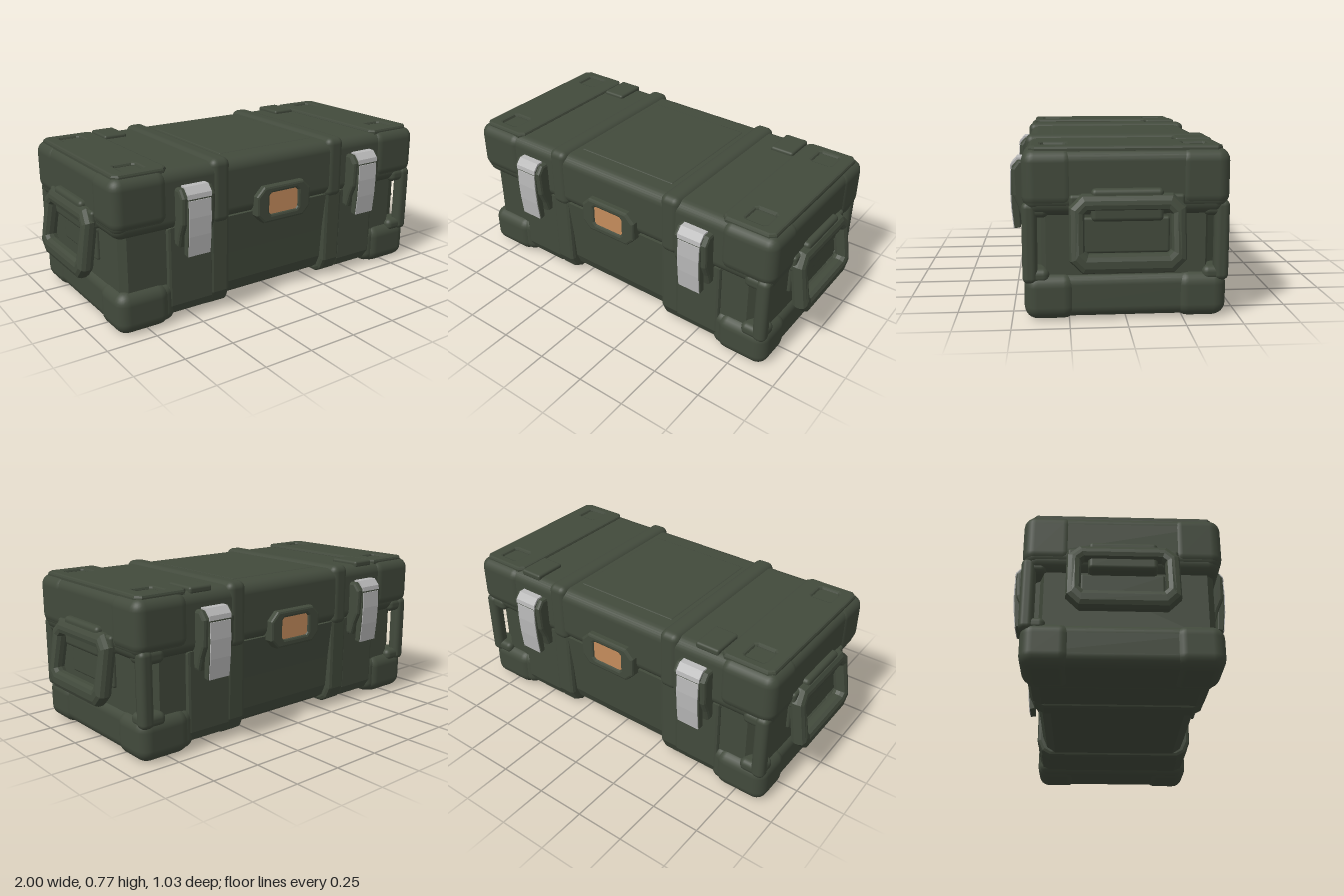
import * as THREE from 'three';
import { RoundedBoxGeometry } from 'three/addons/geometries/RoundedBoxGeometry.js';

export function createModel() {
  const mat = (name, color) => {
    const m = new THREE.MeshStandardMaterial({ color });
    m.name = name;
    return m;
  };
  const green = mat('olive plastic', 0x424a3c);
  const steel = mat('latch steel', 0xb9b9b9);
  const tan = mat('label tan', 0xc48c5c);

  const model = new THREE.Group();
  model.name = 'transportCase';

  const add = (name, geo, material = green, parent = model) => {
    const m = new THREE.Mesh(geo, material);
    m.name = name;
    parent.add(m);
    return m;
  };
  // Box given by its limits, with rounded edges
  const block = (name, [x0, x1], [y0, y1], [z0, z1], r, parent = model) => {
    const geo = new RoundedBoxGeometry(x1 - x0, y1 - y0, z1 - z0, 3, r);
    geo.translate((x0 + x1) / 2, (y0 + y1) / 2, (z0 + z1) / 2);
    return add(name, geo, green, parent);
  };
  const poly = (pts) => new THREE.Shape(pts.map(([x, y]) => new THREE.Vector2(x, y)));
  // Rectangle with cut corners
  const cutRect = (x0, x1, y0, y1, c) => poly([
    [x0 + c, y0], [x1 - c, y0], [x1, y0 + c], [x1, y1 - c],
    [x1 - c, y1], [x0 + c, y1], [x0, y1 - c], [x0, y0 + c],
  ]);
  const extrude = (shape, depth, bevel = 0) => {
    const geo = new THREE.ExtrudeGeometry(shape, {
      depth: depth - 2 * bevel, bevelEnabled: bevel > 0, bevelSize: bevel,
      bevelThickness: bevel, bevelOffset: -bevel, bevelSegments: 2,
    });
    return geo.translate(0, 0, bevel);
  };
  // Side profile (z, y) swept across x, centred on cx
  const sweep = (pts, width, cx, bevel) =>
    extrude(poly(pts), width, bevel).rotateY(-Math.PI / 2).translate(cx + width / 2, 0, 0);
  // Band running under the case from front to back; half profile goes bottom to top
  const band = (name, half, [x0, x1], bevel) => {
    const mirrored = half.map(([z, y]) => [-z, y]).reverse();
    return add(name, sweep([...half, ...mirrored], x1 - x0, (x0 + x1) / 2, bevel));
  };

  // Base centre, tapering towards the bottom
  band('baseCentre', [[0.33, 0.03], [0.375, 0.06], [0.4, 0.12], [0.412, 0.28], [0.43, 0.475]],
    [-0.36, 0.36], 0);

  // Upper base walls, with pockets at three corners
  const X = 0.872, Z = 0.41;
  const walls = extrude(poly([
    [-0.785, -Z], [-0.35, -Z], [-0.35, -0.36], [0.35, -0.36], [0.35, -Z],
    [0.785, -Z], [0.812, -0.37], [X, -0.35],
    [X, 0.35], [0.812, 0.37], [0.785, Z],
    [0.35, Z], [0.35, 0.36], [-0.35, 0.36], [-0.35, Z],
    [-0.84, Z], [-X, 0.38],
    [-X, -0.35], [-0.812, -0.37],
  ]), 0.36).rotateX(Math.PI / 2).translate(0, 0.51, 0);
  add('baseWalls', walls);

  // Lid shell and its centre panel
  block('lid', [-0.91, 0.91], [0.468, 0.756], [-0.44, 0.44], 0.055);
  block('lidPanel', [-0.285, 0.285], [0.74, 0.759], [-0.32, 0.32], 0.008);

  for (const sx of [-1, 1]) {
    const span = (a, b) => (sx > 0 ? [a, b] : [-b, -a]);
    // Ribs wrapping lid and base, and the columns that carry the latches
    block('lidRib', span(0.3, 0.405), [0.455, 0.771], [-0.447, 0.447], 0.035);
    band('baseRib', [[0.36, 0.015], [0.405, 0.04], [0.432, 0.1], [0.435, 0.475]],
      span(0.3, 0.415), 0.02);
    band('latchColumn', [[0.37, 0.028], [0.41, 0.045], [0.43, 0.09], [0.43, 0.48]],
      span(0.39, 0.64), 0.015);
    block('baseEnd', span(0.6, 0.895), [0.012, 0.21], [-0.432, 0.432], 0.05);
    block('lidEnd', span(0.63, 0.915), [0.49, 0.755], [-0.444, 0.444], 0.05);

    // Raised end cap on the lid with two stacking sockets
    const cap = cutRect(...span(0.62, 0.892), -0.418, 0.418, 0.025);
    for (const sz of [-1, 1]) {
      const [z0, z1] = sz > 0 ? [0.26, 0.365] : [-0.365, -0.26];
      cap.holes.push(cutRect(...span(0.715, 0.82), z0, z1, 0.01));
    }
    add('lidEndCap', extrude(cap, 0.035, 0.012).rotateX(-Math.PI / 2).translate(0, 0.735, 0));

    for (const sz of [-1, 1]) {
      const depth = (a, b) => (sz > 0 ? [a, b] : [-b, -a]);
      // Corner bumpers
      block('baseCorner', span(0.63, 0.907), [0.004, 0.212], depth(0.215, 0.446), 0.06);
      block('lidCorner', span(0.63, 0.92), [0.5, 0.757], depth(0.215, 0.45), 0.055);
      // Upright corner guard, absent at the front right corner
      if (sx < 0 && sz > 0) continue;
      block('cornerGuard', span(0.836, 0.904), [0.17, 0.53], depth(0.386, 0.452), 0.026);
      block('guardFoot', span(0.77, 0.898), [0.17, 0.235], depth(0.335, 0.446), 0.028);
      block('guardHead', span(0.77, 0.898), [0.46, 0.53], depth(0.335, 0.446), 0.028);
    }
    // Strap pad on the lid behind each rear latch
    block('lidStrap', span(0.49, 0.615), [0.74, 0.774], [-0.42, -0.25], 0.012);

    // Swinging carry handle, leaning outward towards the grip
    const side = new THREE.Group();
    side.name = sx > 0 ? 'leftHandle' : 'rightHandle';
    side.rotation.y = sx > 0 ? 0 : Math.PI;
    model.add(side);
    const frame = cutRect(-0.25, 0.25, 0.235, 0.57, 0.055);
    frame.holes.push(cutRect(-0.185, 0.185, 0.318, 0.5, 0.015));
    const loop = extrude(frame, 0.074, 0.026).rotateY(Math.PI / 2);
    const p = loop.attributes.position;
    for (let i = 0; i < p.count; i++) {
      const y = p.getY(i);
      p.setX(i, p.getX(i) + 0.881 + Math.min(0.57 - y, 0.237) * 0.19);
    }
    loop.computeVertexNormals();
    add('handleLoop', loop, green, side);
    block('handleMount', [0.84, 0.945], [0.45, 0.592], [-0.155, 0.155], 0.02, side);
    block('handleBackplate', [0.84, 0.888], [0.3, 0.46], [-0.19, 0.19], 0.012, side);
    for (const s of [-1, 1]) {
      block('handlePivot', [0.84, 0.93], [0.48, 0.565], [s * 0.215 - 0.033, s * 0.215 + 0.033],
        0.015, side);
    }
  }

  // Front and back carry the same latches and label holder
  for (const back of [false, true]) {
    const face = new THREE.Group();
    face.name = back ? 'backFittings' : 'frontFittings';
    face.rotation.y = back ? Math.PI : 0;
    model.add(face);

    for (const cx of [-0.515, 0.515]) {
      add('latchBracket', sweep([
        [0.41, 0.39], [0.458, 0.39], [0.475, 0.45], [0.5, 0.51],
        [0.505, 0.635], [0.475, 0.675], [0.41, 0.675],
      ], 0.18, cx, 0.014), green, face);
      // Lever body with a steel face plate
      add('latchLever', sweep([
        [0.468, 0.355], [0.497, 0.35], [0.507, 0.45], [0.51, 0.54],
        [0.507, 0.645], [0.48, 0.674], [0.44, 0.674], [0.475, 0.5],
      ], 0.128, cx, 0.004), green, face);
      add('latchPlate', sweep([
        [0.495, 0.352], [0.501, 0.352], [0.511, 0.45], [0.515, 0.54],
        [0.512, 0.622], [0.505, 0.622], [0.507, 0.54], [0.504, 0.45],
      ], 0.118, cx, 0), steel, face);
      add('latchCap', sweep([
        [0.47, 0.67], [0.504, 0.642], [0.506, 0.63], [0.513, 0.63],
        [0.51, 0.652], [0.482, 0.683], [0.45, 0.684], [0.45, 0.675],
      ], 0.126, cx, 0), steel, face);
    }

    // Label holder: frame around an inset plate
    const holder = cutRect(-0.166, 0.162, 0.412, 0.598, 0.045);
    holder.holes.push(cutRect(-0.092, 0.086, 0.453, 0.562, 0.012));
    add('labelFrame', extrude(holder, 0.075, 0.012).translate(0, 0, 0.4), green, face);
    const plate = new THREE.BoxGeometry(0.19, 0.12, 0.008).translate(-0.003, 0.508, 0.46);
    add('labelPlate', plate, tan, face);
  }

  return model;
}
